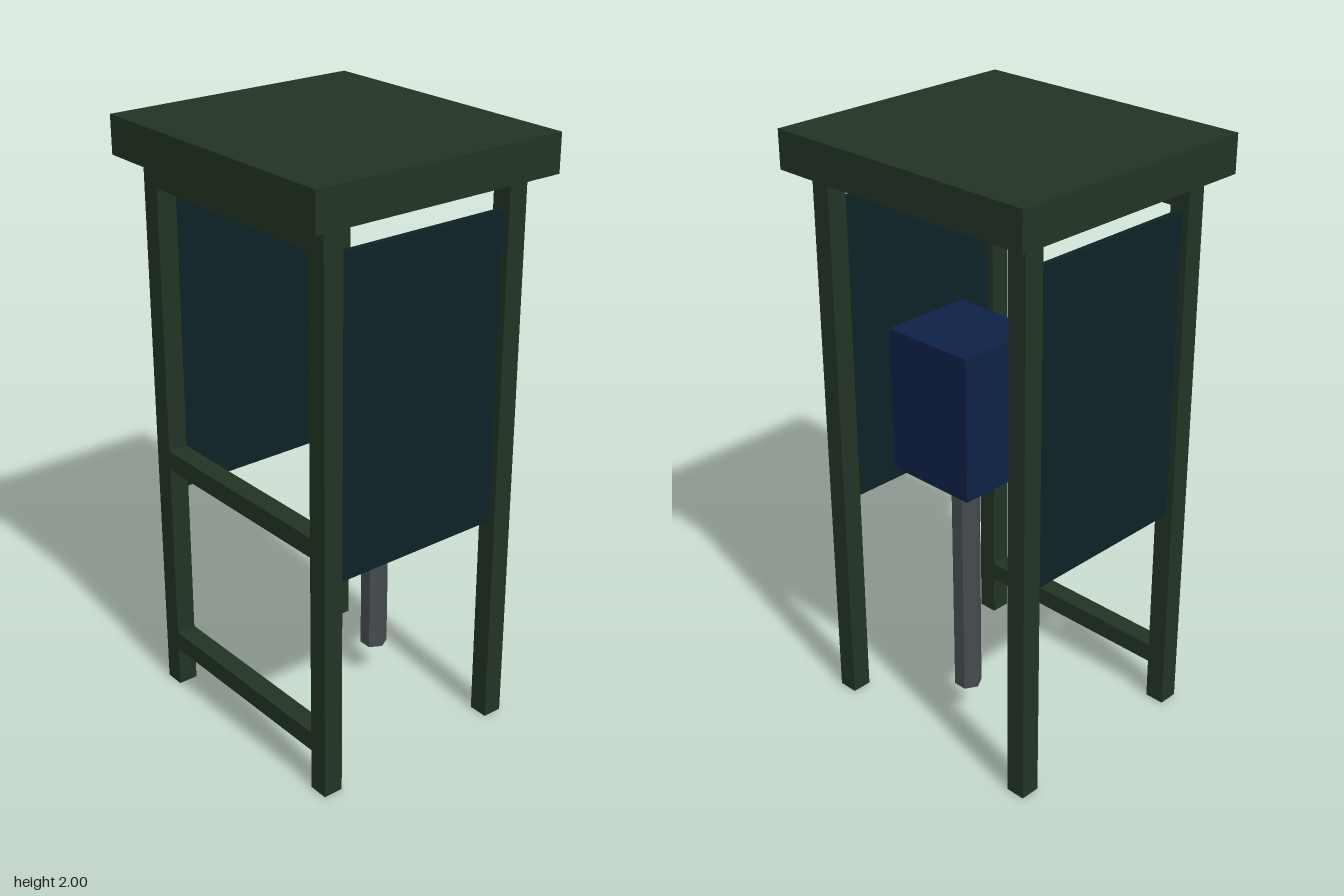
import * as THREE from 'three';

export function createModel() {
  const model = new THREE.Group();
  const mat = (name, color, flatShading = false) => {
    const m = new THREE.MeshStandardMaterial({ color });
    m.name = name;
    m.flatShading = flatShading;
    return m;
  };
  const green = mat('dark green frame', 0x223423);
  const teal = mat('dark teal panel', 0x0d2226);
  const blue = mat('navy casing', 0x0e2146);
  const grey = mat('grey steel', 0x454c4e, true);
  const black = mat('dark screen', 0x0d2022);

  const add = (name, geometry, material, x, y, z) => {
    const mesh = new THREE.Mesh(geometry, material);
    mesh.name = name;
    mesh.position.set(x, y, z);
    model.add(mesh);
    return mesh;
  };
  const box = (name, material, w, h, d, x, y, z) =>
    add(name, new THREE.BoxGeometry(w, h, d), material, x, y, z);

  // Flat slab roof
  box('roof', green, 0.99, 0.125, 0.905, 0, 1.9375, 0);

  // Corner posts and side panels set into the middle of the posts
  const post = 0.068, px = 0.404, pz = 0.346;
  for (const sx of [-1, 1]) {
    for (const sz of [-1, 1]) {
      box('post', green, post, 1.875, post, sx * px, 0.9375, sz * pz);
    }
    box('sidePanel', teal, 0.02, 1.035, 2 * pz - post, sx * px, 1.2575, 0);
  }

  // Cross rails on the front only
  for (const y of [0.175, 0.868, 1.818]) {
    box('frontRail', green, 2 * px - post, 0.066, post, 0, y, pz);
  }

  // Hexagonal pole carrying the cabinet
  const poleZ = -0.188;
  add('pole', new THREE.CylinderGeometry(0.046, 0.046, 0.83, 6, 1, false, Math.PI / 2),
    grey, 0, 0.547, poleZ);

  // Cabinet with a screen standing slightly proud of its front
  box('cabinet', blue, 0.325, 0.475, 0.305, 0, 1.1925, poleZ);
  box('screen', black, 0.25, 0.198, 0.06, 0, 1.246, poleZ + 0.1525);

  return model;
}
